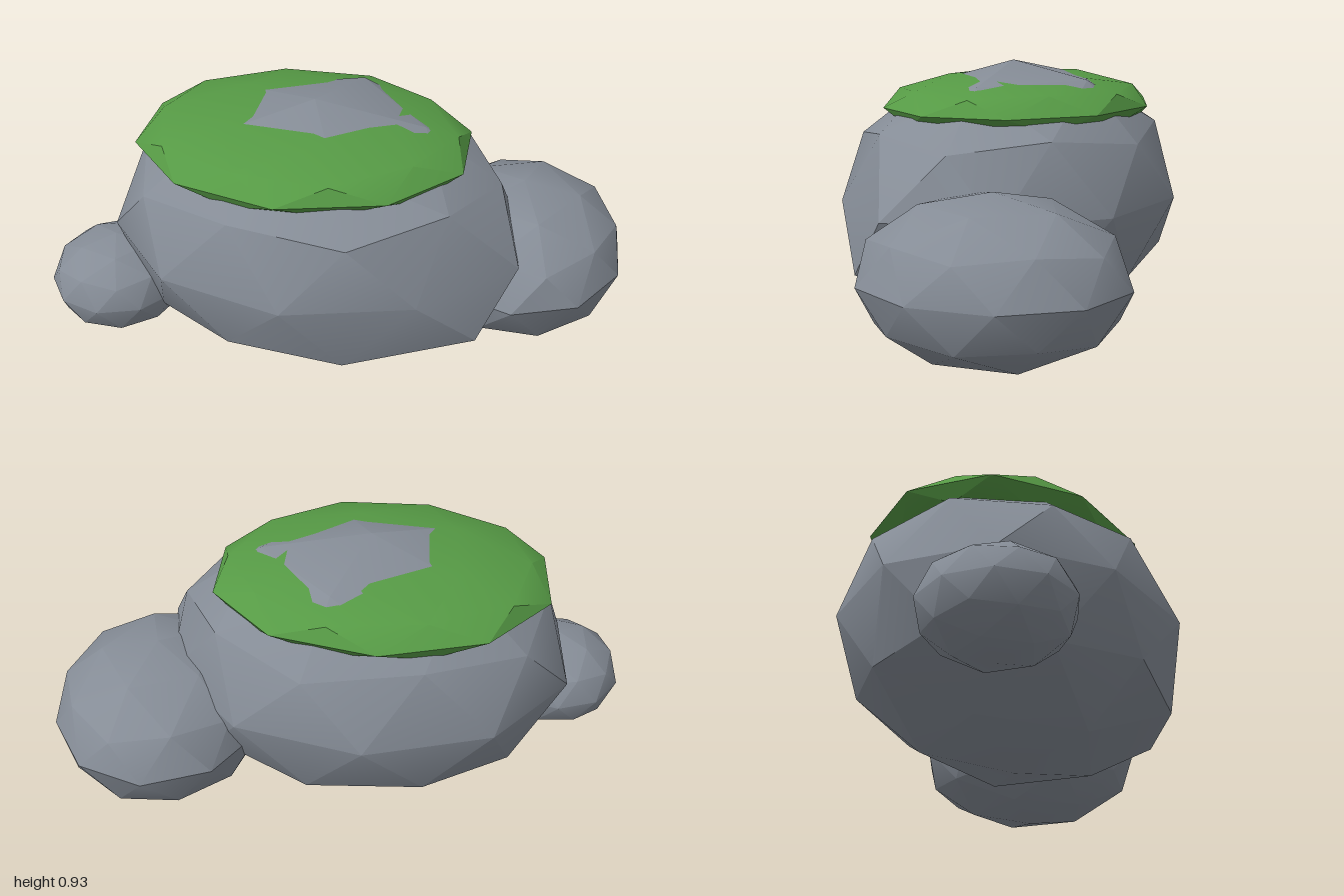
import * as THREE from 'three';
import { toCreasedNormals } from 'three/addons/utils/BufferGeometryUtils.js';

const rockGrey = new THREE.MeshStandardMaterial({ color: 0x858c96 });
rockGrey.name = 'rockGrey';
const mossGreen = new THREE.MeshStandardMaterial({ color: 0x569a45 });
mossGreen.name = 'mossGreen';

// Low-poly boulder: a 42-point ball with its poles on y, stretched to the radii.
// Each tweak is [direction on the unit ball, offset] and nudges one corner.
function boulder(name, material, centre, radii, tweaks = []) {
  const geometry = new THREE.IcosahedronGeometry(1, 1);
  geometry.rotateZ(-Math.atan(2 / (1 + Math.sqrt(5))));
  const position = geometry.attributes.position;
  const scale = new THREE.Vector3(...radii);
  const p = new THREE.Vector3();
  const round = (v) => Math.round(v * 1e4) / 1e4;
  for (let i = 0; i < position.count; i++) {
    p.fromBufferAttribute(position, i);
    const tweak = tweaks.find(([dir]) => p.distanceTo(new THREE.Vector3(...dir)) < 0.15);
    p.multiply(scale);
    if (tweak) p.add(new THREE.Vector3(...tweak[1]));
    position.setXYZ(i, round(p.x), round(p.y), round(p.z));
  }
  const mesh = new THREE.Mesh(toCreasedNormals(geometry, 0.45), material);
  mesh.name = name;
  mesh.position.set(...centre);
  return mesh;
}

export function createModel() {
  const group = new THREE.Group();
  group.name = 'mossyRocks';

  // Large middle boulder, its crown breaking through the moss
  group.add(boulder('mainRock', rockGrey, [-0.08, 0.465, 0.01], [0.72, 0.465, 0.59], [
    [[0.72, -0.45, 0.53], [0.09, 0, 0.03]],
    [[0.95, 0, 0.31], [0.045, 0, 0.01]],
    [[0.26, -0.53, 0.81], [0, 0, 0.03]],
    [[0.16, 0.85, -0.5], [0, 0.013, -0.01]],
    [[0.16, 0.85, 0.5], [0, -0.015, 0]],
  ]));

  // Smaller boulders on either side
  group.add(boulder('leftRock', rockGrey, [0.64, 0.315, -0.17], [0.378, 0.27, 0.435]));
  group.add(boulder('rightRock', rockGrey, [-0.77, 0.25, 0.2], [0.242, 0.175, 0.245]));

  // Flat cap of moss
  group.add(boulder('mossCap', mossGreen, [-0.12, 0.775, 0], [0.59, 0.122, 0.47]));

  return group;
}
